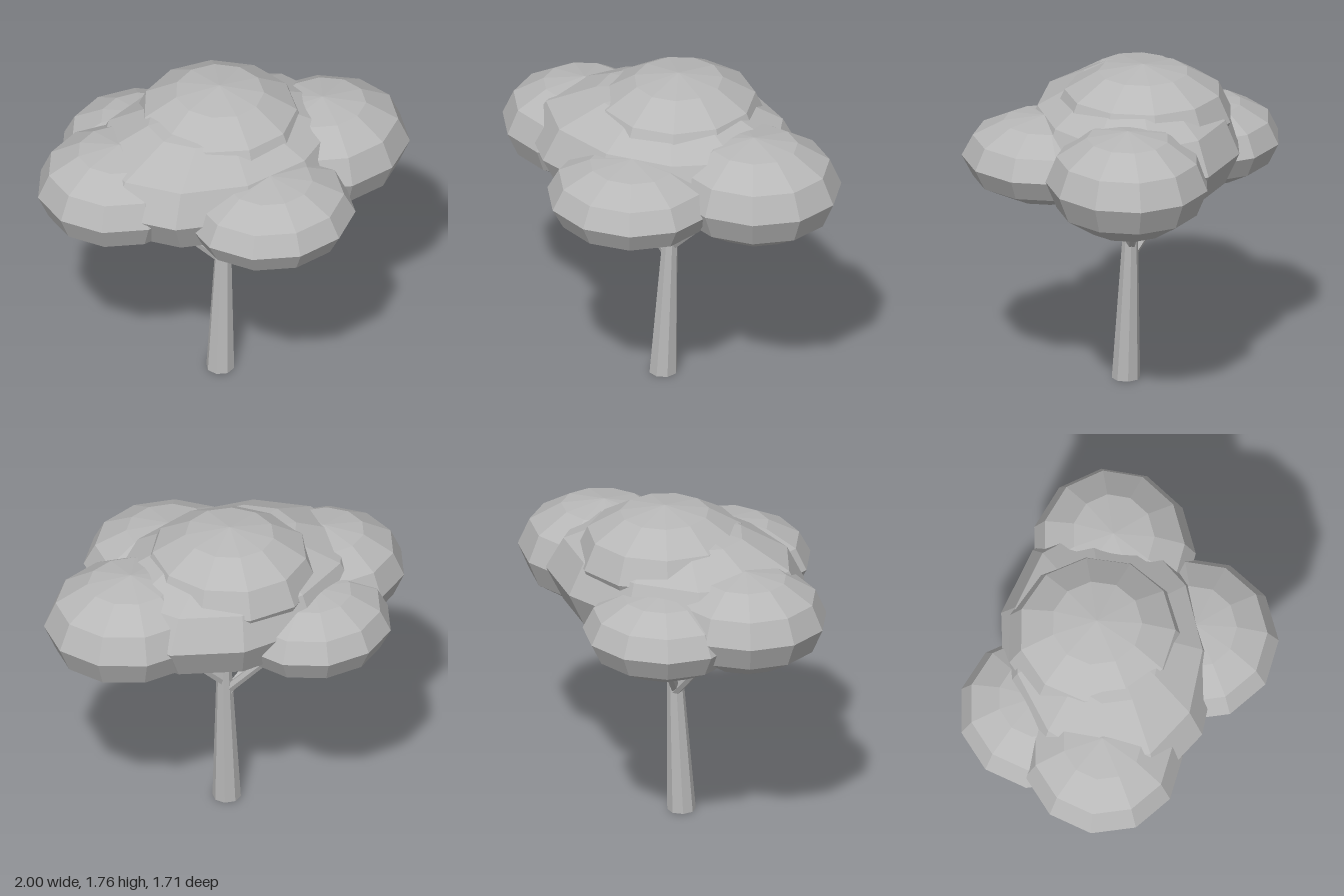
import * as THREE from 'three';

// Unshared vertices give every facet its own normal
function faceted(geometry) {
  const g = geometry.toNonIndexed();
  g.computeVertexNormals();
  return g;
}

// Flattened low-poly ball of leaves
function leafClump(name, center, radii, material) {
  const g = new THREE.SphereGeometry(1, 11, 6, Math.PI).scale(...radii);
  const mesh = new THREE.Mesh(faceted(g), material);
  mesh.name = name;
  mesh.position.set(...center);
  return mesh;
}

// Tapered limb between two points; horizontal rings suit the trunk
function limb(name, from, to, r0, r1, sides, material, levelEnds = false) {
  const a = new THREE.Vector3(...from), b = new THREE.Vector3(...to);
  const d = b.clone().sub(a);
  const length = levelEnds ? d.y : d.length();
  const g = new THREE.CylinderGeometry(r1, r0, length, sides).translate(0, length / 2, 0);
  if (levelEnds) {
    // Lean the column while keeping its ends flat
    g.applyMatrix4(new THREE.Matrix4().set(
      1, d.x / d.y, 0, 0, 0, 1, 0, 0, 0, d.z / d.y, 1, 0, 0, 0, 0, 1));
  } else {
    g.applyQuaternion(new THREE.Quaternion().setFromUnitVectors(
      new THREE.Vector3(0, 1, 0), d.normalize()));
  }
  const mesh = new THREE.Mesh(faceted(g), material);
  mesh.name = name;
  mesh.position.copy(a);
  return mesh;
}

export function createModel() {
  const tree = new THREE.Group();
  tree.name = 'tree';
  const grey = new THREE.MeshStandardMaterial({ color: 0xb8b8b8 });
  grey.name = 'plain grey';

  // Trunk
  tree.add(limb('trunk', [-0.045, 0, -0.015], [-0.012, 0.87, -0.035], 0.075, 0.038, 8, grey, true));

  // Branches reaching into the clumps
  const branches = new THREE.Group();
  branches.name = 'branches';
  [
    ['rightBranch', [-0.02, 0.67, -0.045], [-0.44, 1.12, -0.13], 0.026, 0.02],
    ['backBranch', [-0.03, 0.7, -0.05], [-0.19, 1.1, -0.37], 0.026, 0.02],
    ['leftBranch', [-0.01, 0.75, -0.038], [0.32, 1.08, 0.01], 0.028, 0.024],
    ['frontBranch', [-0.01, 0.82, -0.025], [-0.01, 1.08, 0.19], 0.03, 0.024],
  ].forEach(([name, from, to, r0, r1]) => branches.add(limb(name, from, to, r0, r1, 6, grey)));
  tree.add(branches);

  // Canopy
  const canopy = new THREE.Group();
  canopy.name = 'canopy';
  [
    ['middleClump', [-0.05, 1.33, -0.05], [0.76, 0.35, 0.57]],
    ['topClump', [0, 1.48, -0.1], [0.465, 0.28, 0.475]],
    ['leftClump', [0.53, 1.305, 0.06], [0.468, 0.285, 0.43]],
    ['rightClump', [-0.58, 1.295, -0.15], [0.438, 0.265, 0.42]],
    ['frontClump', [0, 1.28, 0.42], [0.455, 0.225, 0.435]],
    ['backClump', [-0.27, 1.235, -0.45], [0.43, 0.228, 0.415]],
  ].forEach(([name, center, radii]) => canopy.add(leafClump(name, center, radii, grey)));
  tree.add(canopy);

  return tree;
}
